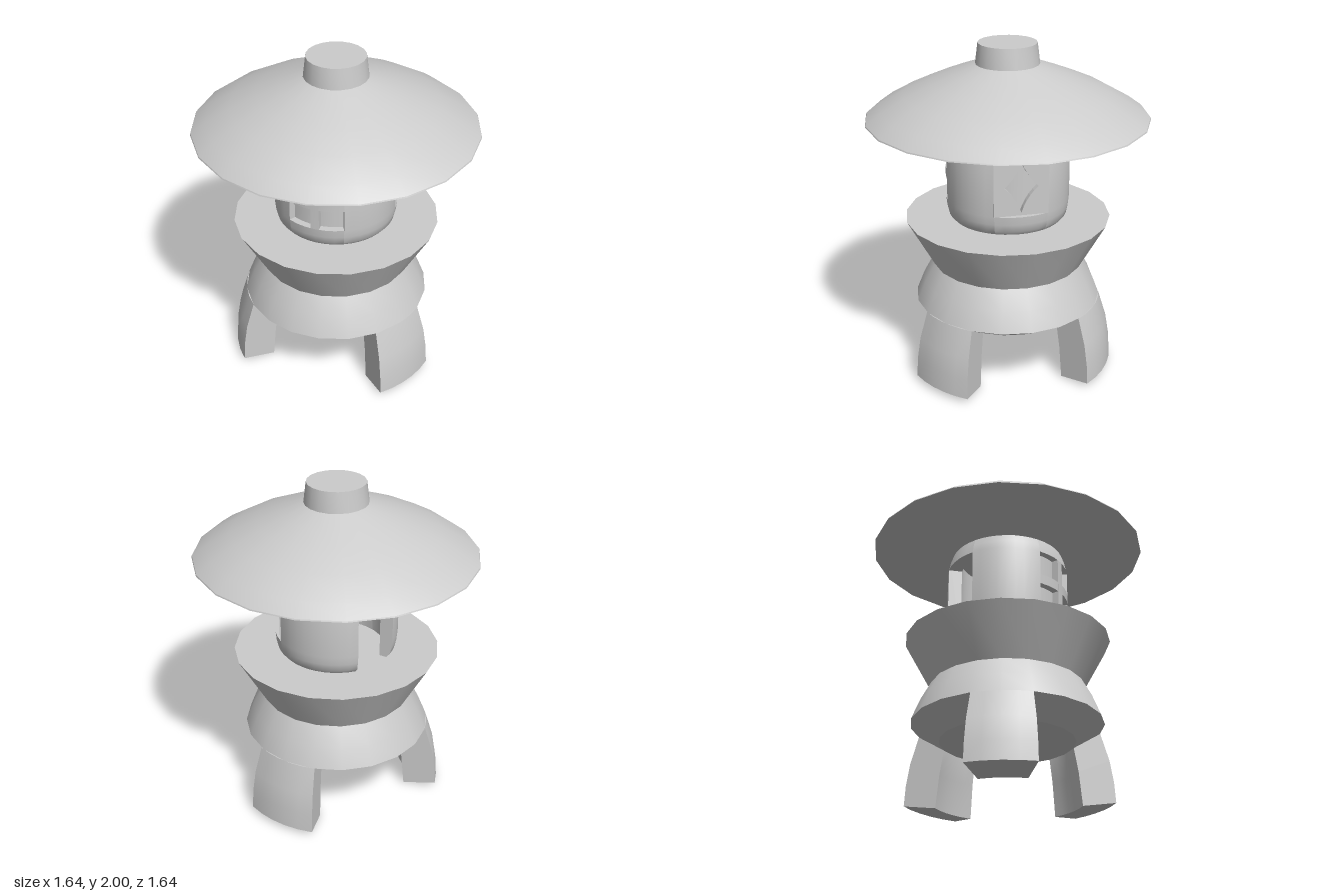
import * as THREE from 'three';
import { toCreasedNormals } from 'three/addons/utils/BufferGeometryUtils.js';

const material = new THREE.MeshStandardMaterial({ color: 0xcccccc });
const rad = THREE.MathUtils.degToRad;
const SIDES = 20;

// Solid wedge: a closed counter-clockwise (radius, y) profile swept between two azimuths
// (degrees, measured from the front towards the model's left), with capped ends.
function wedge(profile, from, to) {
  const n = Math.max(2, Math.ceil((to - from) / 9));
  const m = profile.length;
  const pos = [], index = [];
  for (let i = 0; i <= n; i++) {
    const a = rad(from + ((to - from) * i) / n);
    for (const [r, y] of profile) pos.push(r * Math.sin(a), y, r * Math.cos(a));
  }
  for (let i = 0; i < n; i++) {
    for (let j = 0; j < m; j++) {
      const k = (j + 1) % m;
      const a = i * m + j, b = a + m, c = (i + 1) * m + k, d = i * m + k;
      index.push(a, b, c, a, c, d);
    }
  }
  const outline = profile.map(([r, y]) => new THREE.Vector2(r, y));
  for (const [a, b, c] of THREE.ShapeUtils.triangulateShape(outline, [])) {
    index.push(a, b, c, n * m + a, n * m + c, n * m + b);
  }
  const g = new THREE.BufferGeometry();
  g.setAttribute('position', new THREE.Float32BufferAttribute(pos, 3));
  g.setIndex(index);
  return toCreasedNormals(g, 0.5);
}

function turned(profile) {
  const points = profile.map(([r, y]) => new THREE.Vector2(r, y));
  return toCreasedNormals(new THREE.LatheGeometry(points, SIDES, rad(5.6)), 0.5);
}

// Outer radius of the lantern chamber, rounded in at the foot and the top
const chamberCurve = [[0.325, 0.955], [0.35, 0.985], [0.36, 1.03], [0.365, 1.08],
  [0.365, 1.42], [0.355, 1.47], [0.335, 1.525]];

// Chamber wall profile between two heights
function wall(y0, y1, inner = 0.285) {
  const outer = chamberCurve.filter(([, y]) => y >= y0 && y <= y1);
  return [[inner, y0], ...outer, [inner, y1]];
}

const block = (r0, r1, y0, y1) => [[r0, y0], [r1, y0], [r1, y1], [r0, y1]];

export function createModel() {
  const model = new THREE.Group();
  const add = (name, geometry, parent = model) => {
    const mesh = new THREE.Mesh(geometry, material);
    mesh.name = name;
    parent.add(mesh);
    return mesh;
  };
  const group = (name) => {
    const g = new THREE.Group();
    g.name = name;
    model.add(g);
    return g;
  };

  // Three bowed legs
  const legProfile = [[0.44, 0], [0.64, 0.03], [0.632, 0.15], [0.61, 0.28], [0.56, 0.44],
    [0.4, 0.44], [0.395, 0.34], [0.42, 0.2]];
  const legs = group('legs');
  for (const [from, to] of [[22.5, 59.5], [-101.5, -66.5], [-231, -191]]) {
    add('leg', wedge(legProfile, from, to), legs);
  }

  // Base body and flared platform
  add('base', turned([[0, 0.335], [0.395, 0.34], [0.56, 0.44], [0.512, 0.56], [0.45, 0.675]]));
  add('platform', turned([[0.45, 0.67], [0.61, 0.96], [0, 0.96]]));

  // Chamber walls between the three openings
  const chamber = group('chamber');
  for (const [from, to] of [[5, 69], [120, 202], [245, 311]]) {
    add('wall', wedge(wall(0.955, 1.525), from, to), chamber);
  }

  // Lintels over all openings, sills under the two windows
  for (const [from, to] of [[-49, 5], [69, 120], [202, 245]]) {
    add('lintel', wedge(wall(1.42, 1.525), from, to), chamber);
  }
  for (const [from, to] of [[-49, 5], [69, 120]]) {
    add('sill', wedge(wall(0.955, 1.08), from, to), chamber);
  }

  // Four-pane window
  const paneWindow = group('paneWindow');
  add('panes', wedge(block(0.285, 0.325, 1.08, 1.42), -49, 5), paneWindow);
  add('crossBar', wedge(block(0.32, 0.365, 1.21, 1.27), -49, 5), paneWindow);
  add('mullion', wedge(block(0.32, 0.365, 1.08, 1.42), -25.5, -17.8), paneWindow);

  // Window with a concave diamond cut through a recessed panel
  const diamondWindow = group('diamondWindow');
  add('backing', wedge(block(0.275, 0.295, 1.08, 1.42), 69, 120), diamondWindow);
  const panel = new THREE.Shape();
  panel.moveTo(-0.16, -0.17).lineTo(0.16, -0.17).lineTo(0.16, 0.17).lineTo(-0.16, 0.17);
  const diamond = new THREE.Path();
  diamond.moveTo(0, 0.155);
  diamond.quadraticCurveTo(0.03, 0.06, 0.1, 0);
  diamond.quadraticCurveTo(0.03, -0.06, 0, -0.155);
  diamond.quadraticCurveTo(-0.03, -0.06, -0.1, 0);
  diamond.quadraticCurveTo(-0.03, 0.06, 0, 0.155);
  panel.holes.push(diamond);
  const screen = add('screen', new THREE.ExtrudeGeometry(panel,
    { depth: 0.035, bevelEnabled: false, curveSegments: 5 }), diamondWindow);
  screen.rotation.y = rad(94.5);
  screen.position.set(0.3 * Math.sin(rad(94.5)), 1.25, 0.3 * Math.cos(rad(94.5)));

  // Domed roof with a short finial stub
  add('roof', turned([[0, 1.51], [0.335, 1.515], [0.825, 1.563], [0.822, 1.57], [0.74, 1.63],
    [0.6, 1.71], [0.45, 1.777], [0.32, 1.83], [0.185, 1.88], [0.17, 2], [0, 2]]));

  return model;
}
